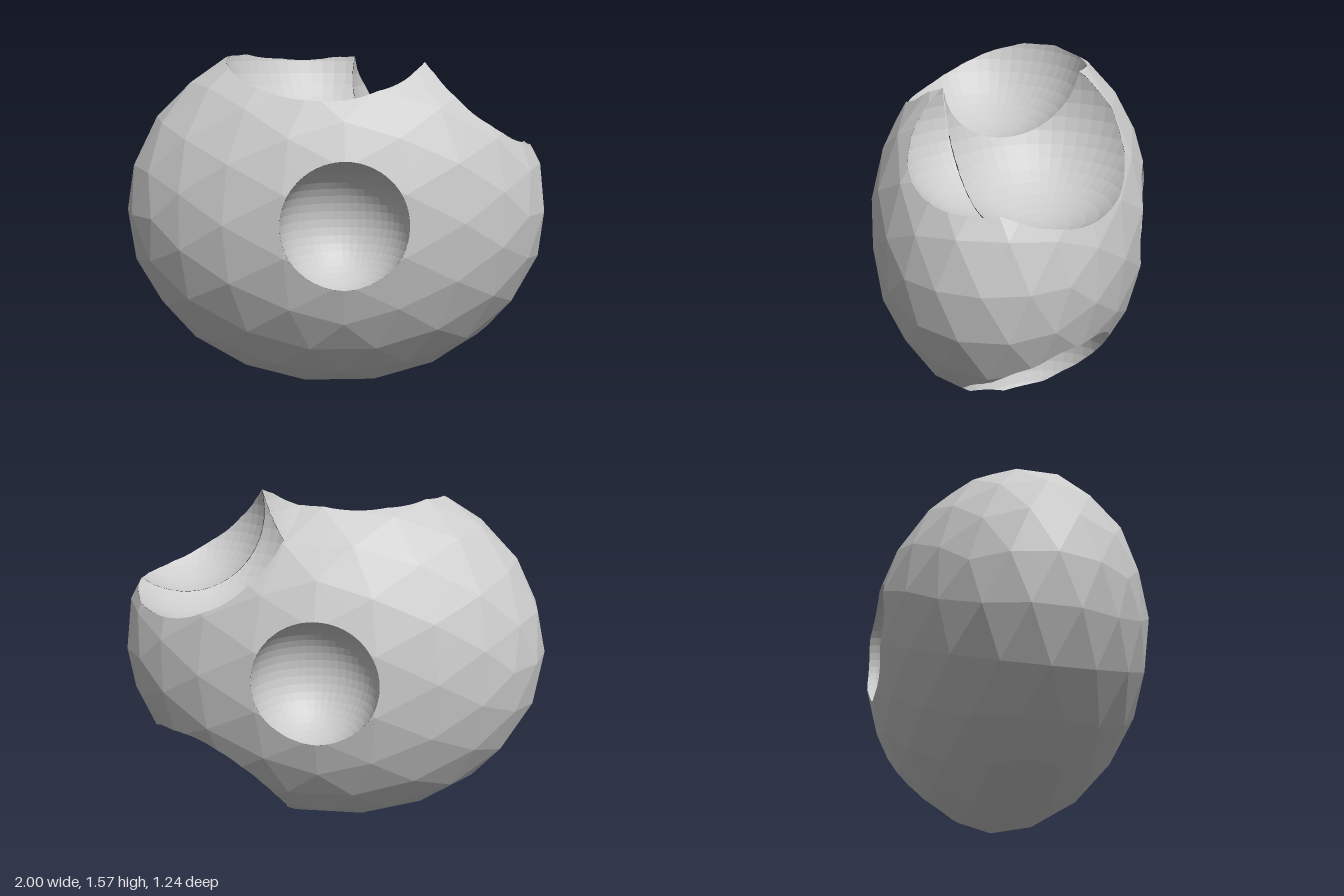
import * as THREE from 'three';

const CENTRE = new THREE.Vector3(0, 0.84, 0);
const RADII = [1, 0.84, 0.65];

// Bowls scooped from the rock: each is a ball centred on its surface
const CRATERS = [
  { name: 'frontCrater', c: [0, 0.84, 0.65], r: 0.28 },
  { name: 'backCrater', c: [0, 0.84, -0.65], r: 0.28 },
  { name: 'topCrater', c: [-0.06, 1.66, 0.124], r: 0.474 },
  { name: 'upperSideCrater', c: [0.566, 1.475, -0.195], r: 0.487 },
  { name: 'smallUpperSideCrater', c: [0.68, 1.453, 0.022], r: 0.386 },
  { name: 'lowerSideCrater', c: [0.55, 0.2, -0.22], r: 0.383 },
].map((k) => ({ ...k, c: new THREE.Vector3(...k.c) }));

const outsideOf = (crater) => (p) => p.distanceTo(crater.c) - crater.r;

// List of triangles (three vectors each) from any geometry
function trianglesOf(geometry) {
  const g = geometry.index ? geometry.toNonIndexed() : geometry;
  const pos = g.attributes.position;
  const tris = [];
  for (let i = 0; i < pos.count; i += 3) {
    const t = [0, 1, 2].map((k) => new THREE.Vector3().fromBufferAttribute(pos, i + k));
    const area = t[1].clone().sub(t[0]).cross(t[2].clone().sub(t[0])).length();
    if (area > 1e-9) tris.push(t);
  }
  return tris;
}

// Split every triangle into four flat ones, so cuts follow curves closely
function subdivide(tris, times) {
  for (let n = 0; n < times; n++) {
    tris = tris.flatMap(([a, b, c]) => {
      const ab = a.clone().lerp(b, 0.5);
      const bc = b.clone().lerp(c, 0.5);
      const ca = c.clone().lerp(a, 0.5);
      return [[a, ab, ca], [ab, b, bc], [ca, bc, c], [ab, bc, ca]];
    });
  }
  return tris;
}

// Keep only the part of the triangles where keep(p) >= 0
function clip(tris, keep) {
  const out = [];
  for (const tri of tris) {
    const d = tri.map(keep);
    if (d.every((v) => v >= 0)) {
      out.push(tri);
      continue;
    }
    if (d.every((v) => v < 0)) continue;
    const poly = [];
    for (let i = 0; i < 3; i++) {
      const j = (i + 1) % 3;
      if (d[i] >= 0) poly.push(tri[i]);
      if (d[i] >= 0 !== d[j] >= 0) poly.push(tri[i].clone().lerp(tri[j], d[i] / (d[i] - d[j])));
    }
    for (let i = 2; i < poly.length; i++) out.push([poly[0], poly[i - 1], poly[i]]);
  }
  return out;
}

function meshFrom(tris, name) {
  const geometry = new THREE.BufferGeometry().setFromPoints(tris.flat());
  geometry.computeVertexNormals();
  const material = new THREE.MeshStandardMaterial({ color: 0xcccccc, flatShading: true });
  const mesh = new THREE.Mesh(geometry, material);
  mesh.name = name;
  return mesh;
}

export function createModel() {
  const group = new THREE.Group();
  group.name = 'crateredRock';

  // Faceted ellipsoid body and the planes of its facets
  const body = new THREE.IcosahedronGeometry(1, 3);
  body.scale(...RADII).translate(CENTRE.x, CENTRE.y, CENTRE.z);
  const facets = trianglesOf(body);
  const planes = facets.map((t) => new THREE.Plane().setFromCoplanarPoints(...t));
  const insideBody = (p) => {
    let m = -Infinity;
    for (const plane of planes) m = Math.max(m, plane.distanceToPoint(p));
    return -m;
  };

  // Rock shell with the craters cut away
  let shell = subdivide(facets, 3);
  for (const crater of CRATERS) shell = clip(shell, outsideOf(crater));
  group.add(meshFrom(shell, 'rockShell'));

  // Crater bowls: inward-facing balls, trimmed to the body and to each other
  for (const crater of CRATERS) {
    const ball = new THREE.SphereGeometry(crater.r, 48, 24);
    ball.translate(crater.c.x, crater.c.y, crater.c.z);
    let bowl = trianglesOf(ball).map(([a, b, c]) => [a, c, b]);
    bowl = clip(subdivide(bowl, 1), insideBody);
    for (const other of CRATERS) {
      if (other !== crater) bowl = clip(bowl, outsideOf(other));
    }
    group.add(meshFrom(bowl, crater.name));
  }
  return group;
}
